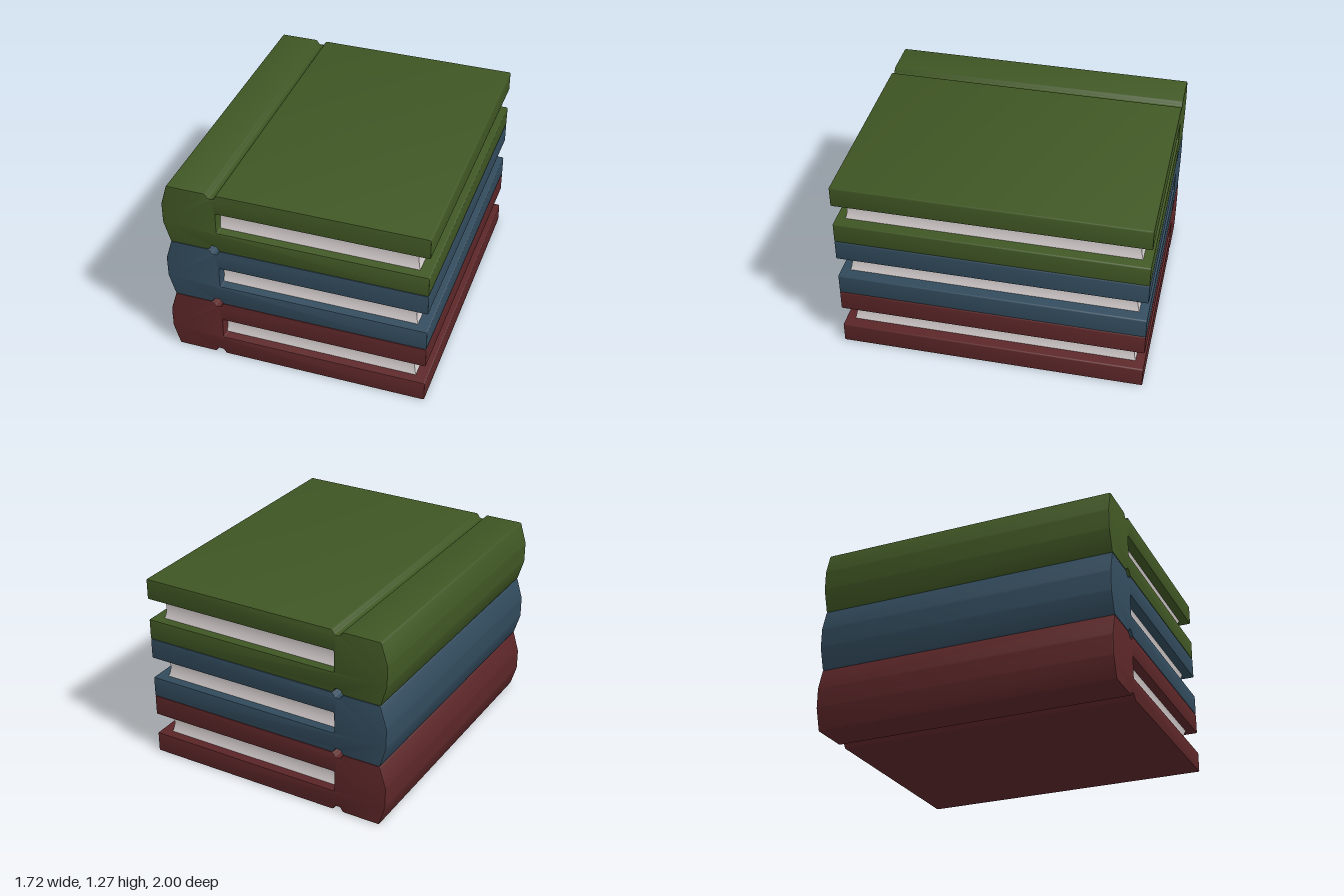
import * as THREE from 'three';
import { toCreasedNormals } from 'three/addons/utils/BufferGeometryUtils.js';

const BOOK_HEIGHT = 0.423;
const BEVEL = 0.008;

const material = (name, color) => {
  const m = new THREE.MeshStandardMaterial({ color });
  m.name = name;
  return m;
};

// Closed outline with every corner slightly rounded
function roundedShape(points, radius) {
  const shape = new THREE.Shape();
  const pts = points.map(([x, y]) => new THREE.Vector2(x, y));
  pts.forEach((p, i) => {
    const prev = pts[(i + pts.length - 1) % pts.length];
    const next = pts[(i + 1) % pts.length];
    const toward = (q) => p.clone().add(q.clone().sub(p).setLength(radius));
    const a = toward(prev), b = toward(next);
    if (i === 0) shape.moveTo(a.x, a.y);
    else shape.lineTo(a.x, a.y);
    shape.quadraticCurveTo(p.x, p.y, b.x, b.y);
  });
  shape.closePath();
  return shape;
}

// Spine, hinge grooves and both boards as one extruded section
function coverGeometry() {
  const lower = [
    [-0.86, 0.143], [-0.817, 0], [-0.56, 0], [-0.542, 0.03],
    [-0.508, 0.03], [-0.49, 0], [0.857, 0], [0.857, 0.14], [-0.5, 0.14],
  ];
  const upper = lower.map(([x, y]) => [x, BOOK_HEIGHT - y]).reverse();
  const geometry = new THREE.ExtrudeGeometry(roundedShape([...lower, ...upper], 0.01), {
    depth: 2 - 2 * BEVEL,
    bevelThickness: BEVEL,
    bevelSize: BEVEL,
    bevelOffset: -BEVEL,
    bevelSegments: 2,
    curveSegments: 3,
  });
  geometry.translate(0, 0, -1 + BEVEL);
  return toCreasedNormals(geometry, 0.7);
}

// Page block whose three open edges curve gently inward
function pagesGeometry() {
  const height = 0.147, left = -0.51, right = 0.782, halfDepth = 0.94;
  const geometry = new THREE.BoxGeometry(right - left, height, halfDepth * 2, 1, 8, 1);
  const p = geometry.attributes.position;
  for (let i = 0; i < p.count; i++) {
    const t = p.getY(i) / (height / 2);
    const inset = 0.014 * (1 - t * t);
    if (p.getX(i) > 0) p.setX(i, p.getX(i) - inset);
    p.setZ(i, p.getZ(i) - Math.sign(p.getZ(i)) * inset);
  }
  geometry.computeVertexNormals();
  geometry.translate((left + right) / 2, BOOK_HEIGHT / 2, 0);
  return geometry;
}

export function createModel() {
  const model = new THREE.Group();
  model.name = 'bookStack';
  const paper = material('paper', 0xd6cece);
  const covers = [
    material('red cover', 0x5c2628),
    material('blue cover', 0x324b5d),
    material('green cover', 0x405724),
  ];
  const cover = coverGeometry();
  const pages = pagesGeometry();

  // Three identical books, differing only in cover colour
  ['bottomBook', 'middleBook', 'topBook'].forEach((name, i) => {
    const book = new THREE.Group();
    book.name = name;
    const coverMesh = new THREE.Mesh(cover, covers[i]);
    coverMesh.name = 'cover';
    const pagesMesh = new THREE.Mesh(pages, paper);
    pagesMesh.name = 'pages';
    book.add(coverMesh, pagesMesh);
    book.position.y = i * BOOK_HEIGHT;
    model.add(book);
  });
  return model;
}
